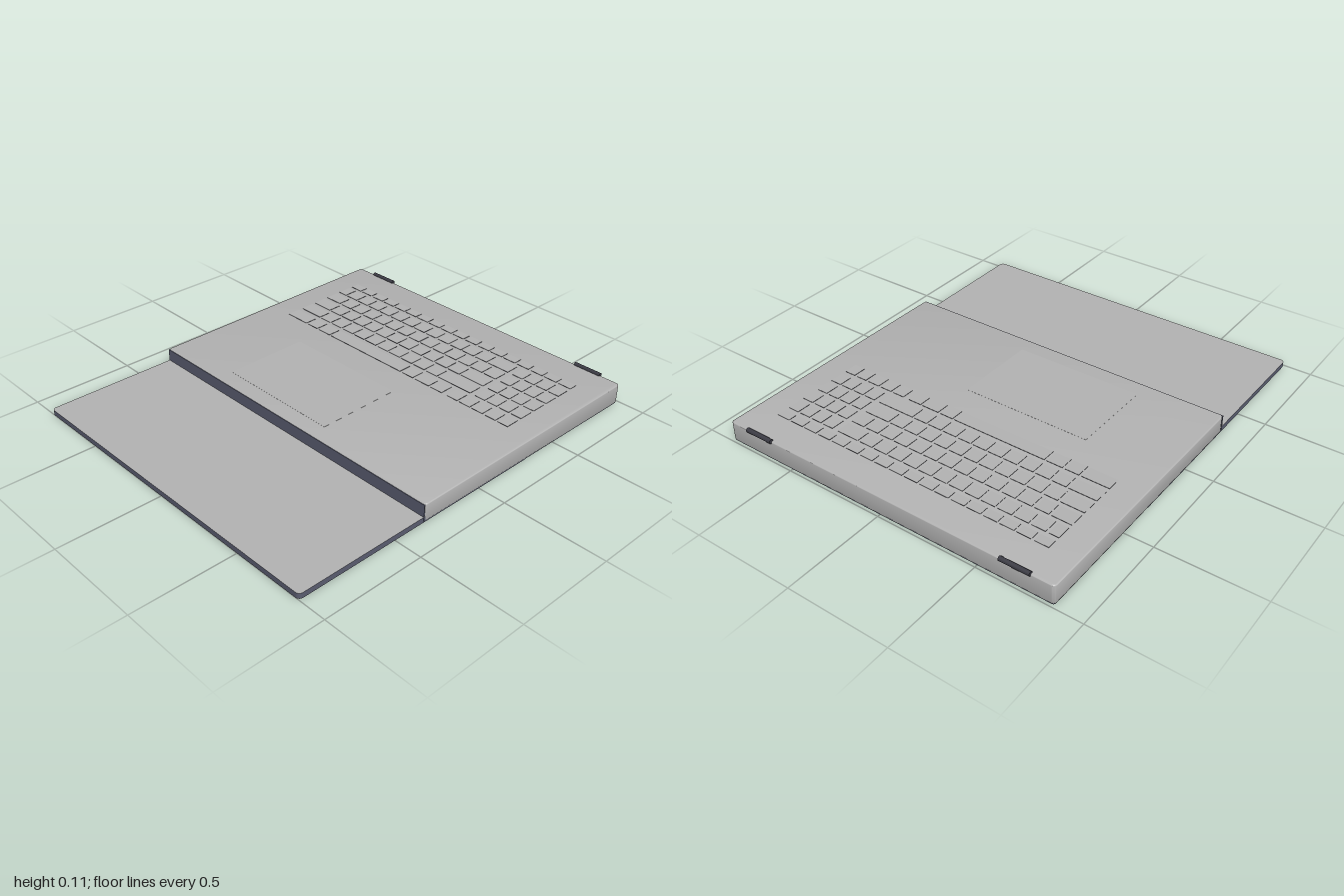
import * as THREE from 'three';
import { toCreasedNormals } from 'three/addons/utils/BufferGeometryUtils.js';

const FRONT = 0.335, BACK = -0.99, TILT = 0.0085;
const mats = {
  shell: new THREE.MeshStandardMaterial({ color: 0xb2b2b2 }),
  slate: new THREE.MeshStandardMaterial({ color: 0x5a5d70 }),
  dark: new THREE.MeshStandardMaterial({ color: 0x3b3b44 }),
};
mats.shell.name = 'silver shell';
mats.slate.name = 'slate blue';
mats.dark.name = 'dark hinge';

function add(parent, name, geometry, material, x = 0, y = 0, z = 0) {
  const mesh = new THREE.Mesh(geometry, material);
  mesh.name = name;
  mesh.position.set(x, y, z);
  parent.add(mesh);
  return mesh;
}

// Horizontal rounded slab between two z values, standing on y = 0
function slab(halfW, z0, z1, height, radius, bevel = 0) {
  const w = halfW - bevel, a = -z1 + bevel, b = -z0 - bevel, r = radius;
  const s = new THREE.Shape();
  s.moveTo(-w + r, a);
  s.lineTo(w - r, a);
  s.absarc(w - r, a + r, r, -Math.PI / 2, 0);
  s.lineTo(w, b - r);
  s.absarc(w - r, b - r, r, 0, Math.PI / 2);
  s.lineTo(-w + r, b);
  s.absarc(-w + r, b - r, r, Math.PI / 2, Math.PI);
  s.lineTo(-w, a + r);
  s.absarc(-w + r, a + r, r, Math.PI, Math.PI * 1.5);
  const g = new THREE.ExtrudeGeometry(s, {
    depth: height - 2 * bevel, curveSegments: 5, bevelEnabled: bevel > 0,
    bevelThickness: bevel, bevelSize: bevel, bevelSegments: 3,
  });
  g.rotateX(-Math.PI / 2);
  g.translate(0, bevel, 0);
  return g;
}

export function createModel() {
  const model = new THREE.Group();
  model.name = 'laptop';

  // Flat lid lying under the front half of the base
  add(model, 'lid', slab(0.862, -0.325, 1, 0.026, 0.02), [mats.shell, mats.slate]);

  // Wedge-shaped base: the top rises gently to the back
  const body = slab(0.865, BACK, FRONT, 0.084, 0.012, 0.006);
  const p = body.attributes.position;
  for (let i = 0; i < p.count; i++) {
    if (p.getY(i) > 0.05) p.setY(i, p.getY(i) + TILT * (FRONT - p.getZ(i)));
  }
  add(model, 'base', toCreasedNormals(body, 0.6), mats.shell, 0, 0.005, 0);
  add(model, 'basePanel', slab(0.862, BACK + 0.003, FRONT - 0.004, 0.004, 0.012), mats.slate, 0, 0.002, 0);
  add(model, 'frontPanel', new THREE.BoxGeometry(1.726, 0.08, 0.004), mats.slate, 0, 0.046, FRONT);

  // Deck group follows the slope of the base top
  const deck = new THREE.Group();
  deck.name = 'deck';
  deck.position.y = 0.089 + TILT * FRONT;
  deck.rotation.x = Math.atan(TILT);
  model.add(deck);

  // Key caps: silver tops with dark edges
  const capMats = [mats.dark, mats.dark, mats.shell, mats.dark, mats.dark, mats.dark];
  const gap = 0.013;
  function keyRow(x0, zBack, depth, widths) {
    let x = x0;
    for (const w of widths) {
      add(deck, 'key', new THREE.BoxGeometry(w - gap, 0.003, depth), capMats, x + w / 2, 0.0005, zBack + depth / 2);
      x += w;
    }
  }
  const keys = (n, w = 0.082) => Array(n).fill(w);
  const left = -0.735;
  keyRow(left, -0.833, 0.046, keys(18, 0.0819));
  keyRow(left, -0.765, 0.07, [0.062, ...keys(12), 0.132]);
  keyRow(left, -0.675, 0.07, [0.11, ...keys(12), 0.084]);
  keyRow(left, -0.585, 0.07, [0.129, ...keys(11), 0.147]);
  keyRow(left, -0.495, 0.07, [0.15, ...keys(10), 0.208]);
  keyRow(left, -0.4, 0.068, [0.15, 0.082, 0.092, 0.495, 0.082, 0.102, 0.082]);
  // Number pad and arrow keys
  for (let r = 0; r < 4; r++) keyRow(0.46, -0.765 + r * 0.09, 0.07, keys(4, 0.07));
  keyRow(0.37, -0.4, 0.068, keys(3, 0.075));
  keyRow(0.6, -0.4, 0.068, keys(2, 0.07));

  // Touchpad, almost flush with the deck
  add(deck, 'touchpad', new THREE.BoxGeometry(0.65, 0.002, 0.43), mats.shell, -0.145, -0.0004, 0.035);

  // Hinge barrels on the back edge
  for (const side of [-1, 1]) {
    const barrel = new THREE.CylinderGeometry(0.011, 0.011, 0.145, 16);
    barrel.rotateZ(Math.PI / 2);
    add(model, side > 0 ? 'leftHinge' : 'rightHinge', barrel, mats.dark, side * 0.683, 0.101, -0.989);
  }
  return model;
}
